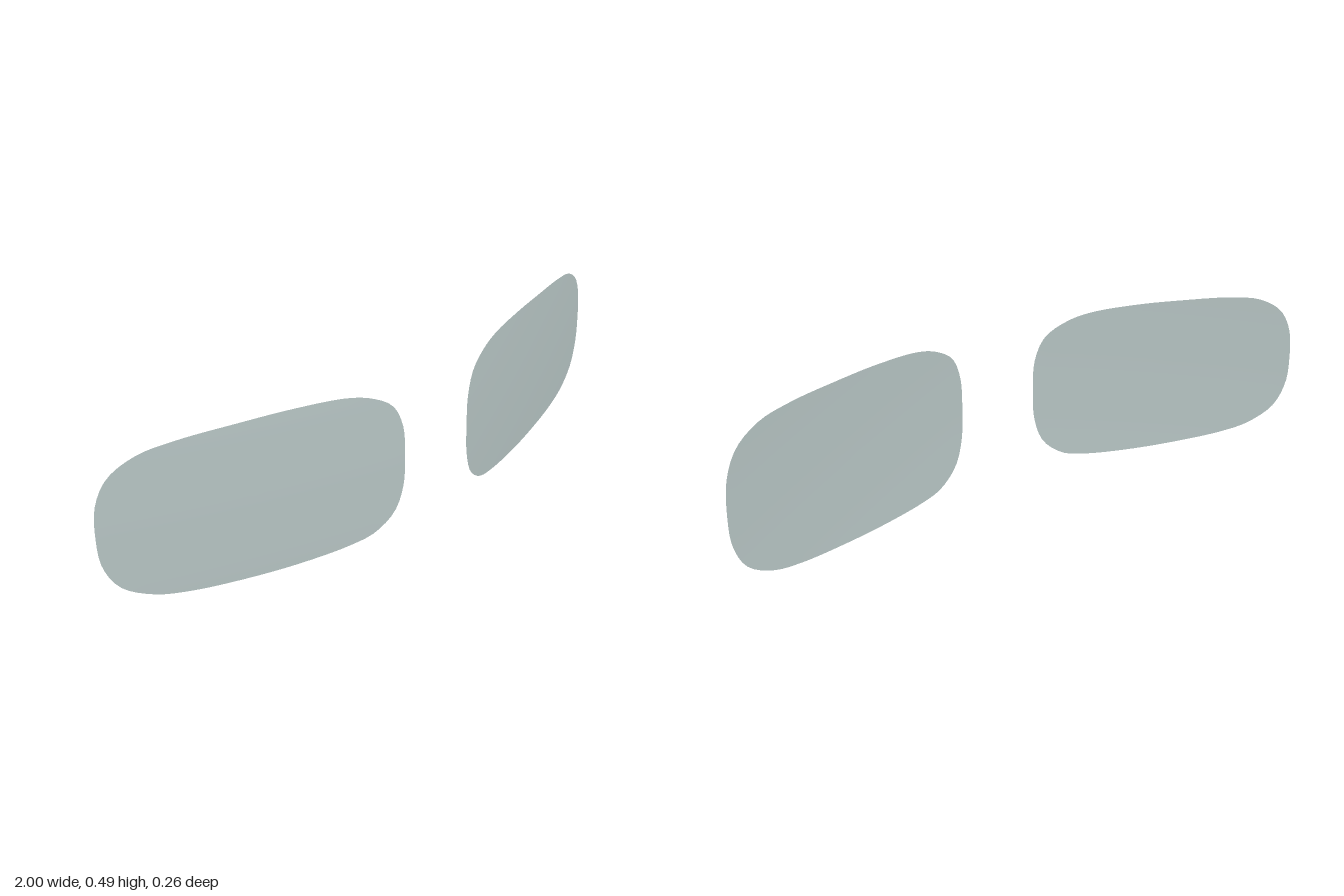
import * as THREE from 'three';

// Lens outline, counter-clockwise from the middle of the inner edge
const OUTLINE = [
  [0.131, 0.25], [0.137, 0.15], [0.166, 0.074], [0.23, 0.024], [0.305, 0.008], [0.45, 0.0],
  [0.61, 0.003], [0.778, 0.017], [0.87, 0.038], [0.953, 0.088], [0.992, 0.163],
  [1.0, 0.25], [0.991, 0.35], [0.955, 0.42], [0.88, 0.465], [0.778, 0.482], [0.62, 0.489],
  [0.462, 0.491], [0.31, 0.482], [0.235, 0.462], [0.168, 0.42], [0.137, 0.35],
];
const CENTER = new THREE.Vector2(0.58, 0.245);
const SEGMENTS = 96;
const RINGS = 12;

// Wrap-around curve of the lens, with a slight vertical bulge
function depth(x, y) {
  const u = x - 0.6, v = y - 0.245;
  return -0.299 * u - 0.055 * u * u - 0.04 * v * v + 0.001;
}

// Curved sheet made of rings growing from the centre to the outline
function lensGeometry(side) {
  const curve = new THREE.CatmullRomCurve3(
    OUTLINE.map(([x, y]) => new THREE.Vector3(x, y, 0)), true);
  const rim = curve.getSpacedPoints(SEGMENTS).slice(0, SEGMENTS);
  if (side < 0) rim.reverse();

  const positions = [CENTER.x * side, CENTER.y, depth(CENTER.x, CENTER.y)];
  const index = [];
  for (let r = 1; r <= RINGS; r++) {
    for (let i = 0; i < SEGMENTS; i++) {
      const x = THREE.MathUtils.lerp(CENTER.x, rim[i].x, r / RINGS);
      const y = THREE.MathUtils.lerp(CENTER.y, rim[i].y, r / RINGS);
      positions.push(x * side, y, depth(x, y));

      const j = (i + 1) % SEGMENTS;
      const outer = 1 + (r - 1) * SEGMENTS;
      const inner = outer - SEGMENTS;
      if (r === 1) index.push(0, outer + i, outer + j);
      else index.push(inner + i, outer + i, outer + j, inner + i, outer + j, inner + j);
    }
  }
  const geometry = new THREE.BufferGeometry();
  geometry.setAttribute('position', new THREE.Float32BufferAttribute(positions, 3));
  geometry.setIndex(index);
  geometry.computeVertexNormals();
  return geometry;
}

export function createModel() {
  const group = new THREE.Group();
  group.name = 'lensPair';
  const glass = new THREE.MeshStandardMaterial({ color: 0xb6c4c3, side: THREE.DoubleSide });
  glass.name = 'greyGlass';

  // Mirrored pair of lenses
  for (const [name, side] of [['leftLens', 1], ['rightLens', -1]]) {
    const lens = new THREE.Mesh(lensGeometry(side), glass);
    lens.name = name;
    group.add(lens);
  }
  return group;
}
